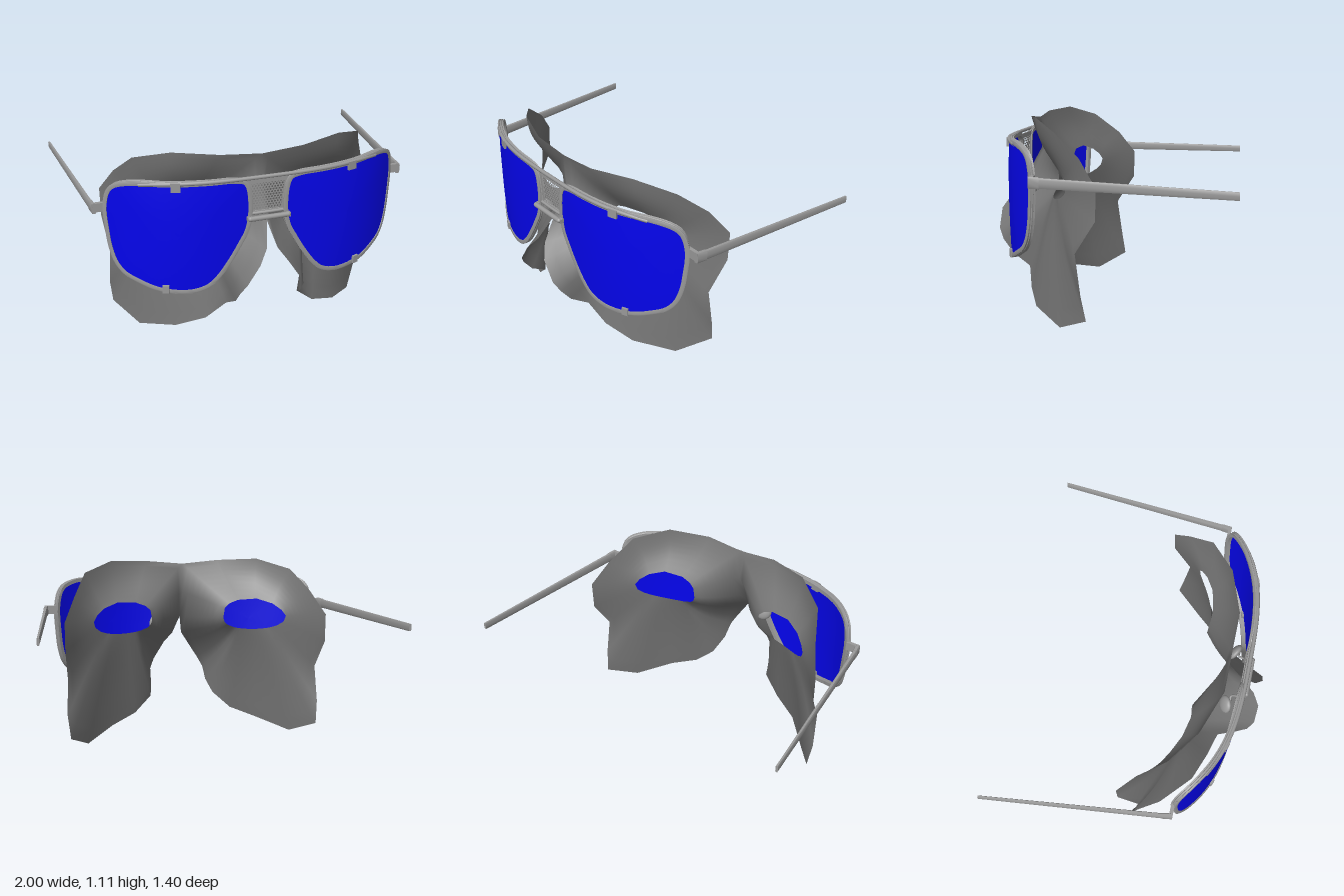
import * as THREE from 'three';
import { mergeGeometries, mergeVertices, toCreasedNormals } from 'three/addons/utils/BufferGeometryUtils.js';

const V = (x, y, z) => new THREE.Vector3(x, y, z);
const paint = color => new THREE.MeshStandardMaterial({ color, side: THREE.DoubleSide });
const metal = paint(0x999999), maskGrey = paint(0x757575), blue = paint(0x0404ec);

// Wrapped front curve of the glasses: depth and slope at a given x
const wrapZ = x => 0.587 - 0.45 * Math.pow(Math.abs(x), 3.2);
const wrapSlope = x => -1.44 * Math.sign(x) * Math.pow(Math.abs(x), 2.2);

function mesh(name, geometry, material = metal) {
  const m = new THREE.Mesh(geometry, material);
  m.name = name;
  return m;
}

// Surface through rows of points; every row is a closed loop
function loft(rows, flip = false, closeRows = false) {
  const n = rows[0].length, pos = [], idx = [];
  rows.forEach(r => r.forEach(p => pos.push(p.x, p.y, p.z)));
  const last = closeRows ? rows.length : rows.length - 1;
  for (let i = 0; i < last; i++) for (let j = 0; j < n; j++) {
    const k = (j + 1) % n, i2 = (i + 1) % rows.length;
    const a = i * n + j, b = i * n + k, c = i2 * n + k, d = i2 * n + j;
    if (flip) idx.push(a, c, b, a, d, c);
    else idx.push(a, b, c, a, c, d);
  }
  const g = new THREE.BufferGeometry();
  g.setAttribute('position', new THREE.Float32BufferAttribute(pos, 3));
  g.setIndex(idx);
  g.computeVertexNormals();
  return g;
}

const tube = (pts, r, seg = 24, sides = 8) =>
  new THREE.TubeGeometry(new THREE.CatmullRomCurve3(pts), seg, r, sides, false);

// Aviator lens outline, from the inner top corner outward and round
const lensOutline = new THREE.CatmullRomCurve3([
  [0.123, 0.968], [0.17, 0.987], [0.31, 0.99], [0.52, 0.99], [0.70, 0.986], [0.786, 0.948],
  [0.818, 0.85], [0.814, 0.684], [0.803, 0.585], [0.78, 0.505], [0.742, 0.453], [0.68, 0.418],
  [0.60, 0.383], [0.524, 0.367], [0.417, 0.364], [0.33, 0.39], [0.275, 0.44], [0.215, 0.524],
  [0.158, 0.622], [0.115, 0.71], [0.10, 0.845],
].map(p => V(p[0], p[1], 0)), true).getPoints(84).slice(0, -1);

// Slightly domed lens
function lens(s) {
  const rows = [];
  for (let i = 0; i <= 9; i++) rows.push(lensOutline.map(p => {
    const k = i / 9, q = V(0.47, 0.7, 0).lerp(p, k);
    return V(s * q.x, q.y, wrapZ(q.x) + 0.008 * (1 - k * k));
  }));
  return loft(rows, s < 0);
}

// Ribbed rim: [outward, forward] section swept round the lens
const rimSection = [[-0.010, 0.004], [0.006, 0.007], [0.014, 0.004], [0.014, -0.003], [0.009, -0.005],
  [0.014, -0.008], [0.014, -0.015], [0.009, -0.018], [0.013, -0.026], [-0.008, -0.026]];

function rim(s) {
  const n = lensOutline.length;
  const rows = lensOutline.map((p, i) => {
    const t = lensOutline[(i + 1) % n].clone().sub(lensOutline[(i + n - 1) % n]);
    const m = wrapSlope(p.x);
    const out = V(-t.y, t.x, -t.y * m).normalize();
    const fwd = V(-m, 0, 1).normalize();
    return rimSection.map(([o, f]) => {
      const q = V(p.x, p.y, wrapZ(p.x)).addScaledVector(out, o).addScaledVector(fwd, f);
      return q.setX(s * q.x);
    });
  });
  return toCreasedNormals(loft(rows, s > 0, true), 0.6);
}

// Tapered bar between two points with half-width and half-height at each end
function bar(s, a, b, wa, ha, wb, hb) {
  const g = new THREE.CylinderGeometry(1, 1, 1, 12, 1);
  g.rotateX(-Math.PI / 2);
  const p = g.attributes.position, q = V(0, 0, 0);
  const round = v => THREE.MathUtils.clamp(v * 1.25, -1, 1);
  for (let i = 0; i < p.count; i++) {
    const t = 0.5 - p.getZ(i);
    q.lerpVectors(a, b, t);
    p.setXYZ(i, s * q.x + round(p.getX(i)) * THREE.MathUtils.lerp(wa, wb, t),
      q.y + round(p.getY(i)) * THREE.MathUtils.lerp(ha, hb, t), q.z);
  }
  return toCreasedNormals(g, 0.6);
}

function box(name, x, y, z, w, h, d) {
  const m = mesh(name, new THREE.BoxGeometry(w, h, d));
  m.position.set(x, y, z);
  return m;
}

function clip(s, x, y, w, h) {
  const m = box('lensClip', s * x, y, wrapZ(x) + 0.001, w, h, 0.026);
  m.rotation.y = Math.atan(-wrapSlope(s * x));
  return m;
}

// Centre plate: a solid surround with one opening
function plateSurround() {
  const points = list => list.map(p => new THREE.Vector2(...p));
  const shape = new THREE.Shape(points([[-0.10, 0.785], [0.10, 0.785], [0.128, 0.985], [-0.128, 0.985]]));
  shape.holes.push(new THREE.Path(points([[-0.078, 0.80], [-0.094, 0.958], [0.094, 0.958], [0.078, 0.80]])));
  return new THREE.ExtrudeGeometry(shape, { depth: 0.01, bevelEnabled: false }).translate(0, 0, 0.568);
}

// Honeycomb of hexagonal rings filling the opening
function honeycomb() {
  const cells = [], pitch = 0.0165;
  for (let r = 0; r < 12; r++) for (let c = -6; c <= 6; c++) {
    const y = 0.80 + r * pitch * 0.866, x = (c + (r % 2) / 2) * pitch;
    if (Math.abs(x) > 0.082 + (y - 0.8) * 0.1) continue;
    cells.push(new THREE.RingGeometry(pitch * 0.36, pitch / Math.sqrt(3), 6, 1, Math.PI / 6)
      .translate(x, y, 0.573));
  }
  return mergeGeometries(cells);
}

// Half face mask border: x, y, z and the bulge halfway towards the eye opening
const maskBorder = [
  [0, 1.08, 0.48, 0.01], [0.23, 1.10, 0.48, 0.015], [0.47, 1.11, 0.396, 0.025], [0.65, 1.05, 0.26, 0.02],
  [0.73, 0.925, 0.113, 0.012], [0.80, 0.785, 0.015, 0.01], [0.80, 0.615, 0.02, 0.02],
  [0.78, 0.44, 0.13, 0], [0.79, 0.22, 0.10, 0.02], [0.775, 0.08, 0.075, 0.03],
  [0.655, 0, 0.24, 0.022], [0.48, 0.06, 0.41, 0.012], [0.32, 0.12, 0.475, 0.005],
  [0.21, 0.22, 0.51, 0], [0.187, 0.29, 0.615, -0.035], [0.18, 0.37, 0.675, -0.04],
  [0.15, 0.43, 0.705, -0.04], [0.08, 0.54, 0.705, -0.04], [0.03, 0.61, 0.66, -0.035],
  [0, 0.73, 0.57, -0.025], [0, 0.90, 0.475, 0],
];

function halfMask(s) {
  const steps = 8, rows = Array.from({ length: steps + 1 }, () => []);
  for (const [x, y, z, bulge] of maskBorder) {
    // Eye opening: blunt at the nose, pointed at the upper outer end
    const t = Math.atan2(y - 0.755, x - 0.42), lift = Math.sin(t), across = Math.cos(t);
    const power = across < 0 ? 0.7 : lift > 0 ? 1.4 : 0.9;
    const ex = 0.42 + 0.19 * across;
    const ey = 0.755 + Math.sign(lift) * Math.abs(lift) ** power * (lift > 0 ? 0.108 : 0.09);
    const eye = V(ex, ey, 0.333 - 1.4 * (ex - 0.31) ** 2);
    rows.forEach((row, i) => {
      const k = i / steps, p = V(x, y, z).lerp(eye, k);
      row.push(V(s * p.x, p.y, p.z + bulge * Math.sin(Math.PI * k)));
    });
  }
  return loft(rows, s < 0);
}

function faceMask() {
  const merged = mergeGeometries([halfMask(1), halfMask(-1)]);
  merged.deleteAttribute('normal');
  const g = mergeVertices(merged, 1e-4);
  g.computeVertexNormals();
  return g;
}

export function createModel() {
  const model = new THREE.Group();
  model.name = 'glassesWithFaceMask';
  model.add(mesh('faceMask', faceMask(), maskGrey));

  // Centre of the frame: brow bar, plate and nose bridge
  const brow = [];
  for (let i = -10; i <= 10; i++) brow.push(V(i * 0.066, 0.997 - 0.012 * (i / 10) ** 8, wrapZ(i * 0.066)));
  model.add(mesh('browBar', tube(brow, 0.011, 48)));
  model.add(mesh('plateSurround', plateSurround()), mesh('honeycomb', honeycomb()));
  const bridge = mesh('bridgeBar', new THREE.CapsuleGeometry(0.014, 0.21, 6, 10).rotateZ(Math.PI / 2));
  bridge.position.set(0, 0.773, 0.61);
  model.add(bridge);
  model.add(mesh('plateEdge', tube([V(-0.1, 0.79, 0.58), V(0, 0.79, 0.582), V(0.1, 0.79, 0.58)], 0.009)));

  for (const s of [1, -1]) {
    const side = new THREE.Group();
    side.name = s > 0 ? 'leftSide' : 'rightSide';
    side.add(mesh('lens', lens(s), blue), mesh('rim', rim(s)));
    side.add(clip(s, 0.485, 0.98, 0.05, 0.048), clip(s, 0.55, 0.38, 0.036, 0.045));
    side.add(box('bridgePost', s * 0.106, 0.769, 0.594, 0.026, 0.024, 0.036));

    // Nose pad on a bent wire arm
    const pad = mesh('nosePad', new THREE.SphereGeometry(1, 16, 10));
    pad.scale.set(0.024, 0.055, 0.052);
    pad.position.set(s * 0.163, 0.70, 0.507);
    pad.rotation.set(0, s * 1.1, s * 0.35);
    side.add(pad, mesh('nosePadArm', tube([V(s * 0.115, 0.74, 0.565), V(s * 0.125, 0.745, 0.53),
      V(s * 0.155, 0.725, 0.53), V(s * 0.163, 0.70, 0.515)], 0.006, 16, 6)));

    // End piece, hinge and temple arm
    side.add(box('endPiece', s * 0.85, 0.825, 0.333, 0.07, 0.05, 0.02));
    side.add(mesh('hinge', bar(s, V(0.878, 0.822, 0.342), V(0.887, 0.82, 0.285), 0.013, 0.03, 0.012, 0.029)));
    side.add(mesh('temple', bar(s, V(0.886, 0.82, 0.29), V(0.993, 0.795, -0.70), 0.011, 0.026, 0.007, 0.02)));
    model.add(side);
  }
  return model;
}
